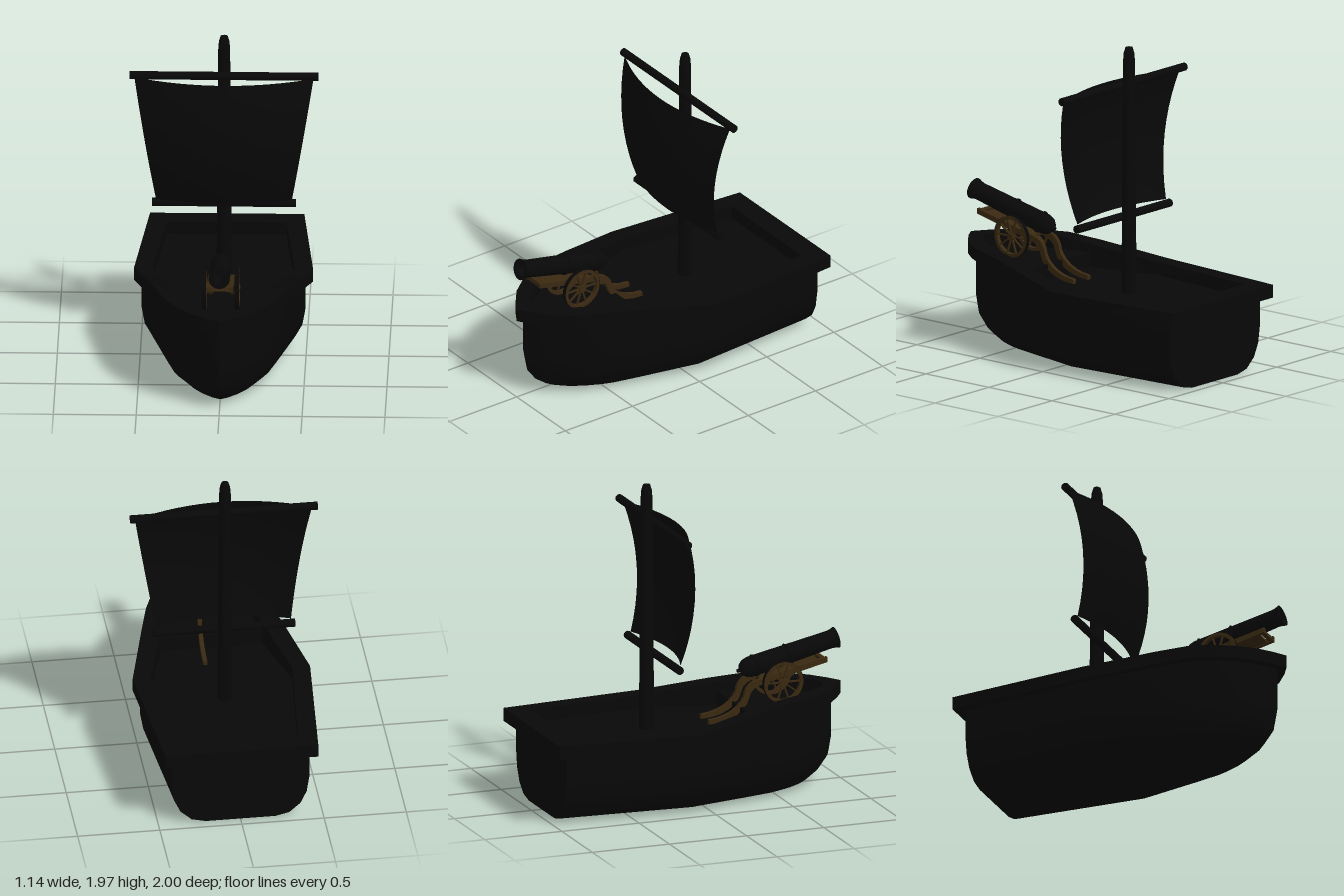
import * as THREE from 'three';
import { toCreasedNormals } from 'three/addons/utils/BufferGeometryUtils.js';

export function createModel() {
  const black = new THREE.MeshStandardMaterial({ color: 0x080808, side: THREE.DoubleSide });
  black.name = 'tarred black';
  const wood = new THREE.MeshStandardMaterial({ color: 0x3a2911 });
  wood.name = 'dark brown wood';

  const model = new THREE.Group();
  model.name = 'cannonBoat';
  const add = (name, geo, mat, pos = [0, 0, 0], rot = [0, 0, 0], parent = model) => {
    const mesh = new THREE.Mesh(geo, mat);
    mesh.name = name;
    mesh.position.set(...pos);
    mesh.rotation.set(...rot);
    parent.add(mesh);
    return mesh;
  };

  // Half outlines [x, z] from stern to bow
  const hullLine = [[.42, -.935], [.495, -.1], [.385, .319], [.385, .32], [.325, .54], [.29, .62], [.225, .735], [.15, .83], [.065, .905], [0, .94]];
  const rimLine = [[.465, -1], [.54, -.1], [.43, .319], [.43, .32], [.37, .54], [.33, .65], [.26, .77], [.18, .87], [.08, .95], [0, 1]];
  const innerLine = [[.36, -.86], [.43, -.1], [.31, .319], [.31, .32], [.26, .54], [.23, .62], [.18, .71], [.12, .8], [.06, .86], [0, .89]];
  const rimTop = z => .52 + .09 * THREE.MathUtils.clamp((z + .1) / .6, 0, 1);
  const rimBottom = z => rimTop(z) - .08;
  const deckY = z => (z >= .32 ? .53 : .44);

  // Mirrors a half outline into a closed ring, with a height rule
  const ring = (line, yOf) => {
    const half = line.map(([x, z]) => [x, yOf(z), z]);
    return half.concat(half.slice(0, -1).reverse().map(([x, y, z]) => [-x, y, z]));
  };
  const loft = (rings, capStart, capEnd) => {
    const m = rings[0].length, index = [];
    for (let r = 0; r < rings.length - 1; r++) {
      for (let i = 0; i < m; i++) {
        const a = r * m + i, b = r * m + (i + 1) % m;
        index.push(a, a + m, b, b, a + m, b + m);
      }
    }
    const cap = (base, up) => {
      for (let i = 0; i < (m - 1) / 2; i++) {
        const R = base + i, L = base + m - 1 - i;
        const tris = [[R, R + 1, L]];
        if (R + 1 !== L - 1) tris.push([R + 1, L - 1, L]);
        tris.forEach(([p, q, s]) => (up ? index.push(p, s, q) : index.push(p, q, s)));
      }
    };
    if (capStart) cap(0, false);
    if (capEnd) cap((rings.length - 1) * m, true);
    const geo = new THREE.BufferGeometry();
    geo.setAttribute('position', new THREE.Float32BufferAttribute(rings.flat(2), 3));
    geo.setIndex(index);
    return toCreasedNormals(geo, .6);
  };

  // Hull: rounded bilge [height, side inset, bow inset]
  const bilge = [[0, .245, .27], [.02, .145, .16], [.08, .065, .08], [.16, .02, .02], [.27, 0, 0]];
  const hullRings = bilge.map(([y, dx, dz]) =>
    ring(hullLine.map(([x, z]) => [x * (1 - dx / .495), z > 0 ? z * (1 - dz / .94) : z]), () => y));
  hullRings.push(ring(hullLine, rimBottom));
  add('hull', loft(hullRings, true, false), black);

  // Raised rim and stepped deck inside it
  add('rim', loft([ring(hullLine, rimBottom), ring(rimLine, rimBottom), ring(rimLine, rimTop),
    ring(innerLine, rimTop), ring(innerLine, deckY)], false, false), black);
  add('deck', loft([ring(innerLine, deckY)], false, true), black);

  // Mast and yards
  const mastProfile = [[0, .43], [.046, .43], [.036, 1.88], [.032, 1.93], [.022, 1.965], [0, 1.97]];
  const lathe = (pts, n) => toCreasedNormals(new THREE.LatheGeometry(pts.map(p => new THREE.Vector2(...p)), n), .6);
  add('mast', lathe(mastProfile, 16), black, [0, 0, -.255]);
  [['upperYard', 1.725, .57], ['lowerYard', .905, .433]].forEach(([name, y, half]) =>
    add(name, new THREE.CylinderGeometry(.025, .025, half * 2, 12), black, [0, y, -.208], [0, 0, Math.PI / 2]));

  // Billowing sail
  const sail = new THREE.PlaneGeometry(2, 1, 16, 10);
  const p = sail.attributes.position;
  for (let i = 0; i < p.count; i++) {
    const u = p.getX(i), v = p.getY(i) + .5, belly = 4 * v * (1 - v);
    const edge = -.197 + .065 * belly;
    const middle = -.12 + .05 * v + .075 * belly;
    p.setXYZ(i, u * (.41 + .13 * v), .93 + .785 * v, edge + (middle - edge) * (1 - u * u));
  }
  sail.computeVertexNormals();
  add('sail', sail, black);

  // Cannon barrel, tilted up towards the bow
  const cannon = new THREE.Group();
  cannon.name = 'cannon';
  model.add(cannon);
  const barrel = new THREE.Group();
  barrel.name = 'barrel';
  barrel.position.set(0, .75, .4);
  barrel.rotation.x = Math.PI / 2 - .225;
  cannon.add(barrel);
  add('barrelBody', lathe([[0, -.075], [.012, -.07], [.012, -.052], [.035, -.045], [.055, -.02], [.063, .015],
    [.063, .06], [.055, .54], [.058, .565], [.066, .588], [.04, .588], [.036, .57], [.036, .35], [0, .35]], 20),
  black, [0, 0, 0], [0, 0, 0], barrel);
  [[.045, .063], [.26, .06]].forEach(([t, r]) =>
    add('barrelBand', new THREE.TorusGeometry(r, .007, 6, 20), black, [0, t, 0], [Math.PI / 2, 0, 0], barrel));

  // Carriage: two curved trail rails in side profile (z, y)
  const rail = new THREE.Shape();
  rail.moveTo(.885, .787);
  rail.lineTo(.44, .69);
  rail.bezierCurveTo(.38, .68, .35, .64, .345, .59);
  rail.bezierCurveTo(.32, .53, .24, .475, .12, .47);
  rail.lineTo(.12, .442);
  rail.bezierCurveTo(.27, .445, .36, .5, .382, .59);
  rail.bezierCurveTo(.39, .63, .42, .645, .47, .66);
  rail.lineTo(.885, .755);
  const railGeo = new THREE.ExtrudeGeometry(rail, { depth: .025, bevelEnabled: false, curveSegments: 6 });
  railGeo.rotateY(-Math.PI / 2).translate(.0125, 0, 0);
  add('carriageBed', new THREE.BoxGeometry(.11, .015, .38), wood, [0, .716, .66], [-.222, 0, 0], cannon);
  add('frontCrossbar', new THREE.BoxGeometry(.14, .025, .025), wood, [0, .768, .868], [-.222, 0, 0], cannon);
  add('axle', new THREE.CylinderGeometry(.014, .014, .23, 10), black, [0, .665, .59], [0, 0, Math.PI / 2], cannon);

  // Spoked wheels with dark tyres
  const felloe = new THREE.Shape().absarc(0, 0, .127, 0, Math.PI * 2);
  felloe.holes.push(new THREE.Path().absarc(0, 0, .107, 0, Math.PI * 2, true));
  const felloeGeo = new THREE.ExtrudeGeometry(felloe, { depth: .026, bevelEnabled: false, curveSegments: 24 });
  felloeGeo.translate(0, 0, -.013);
  const tyreGeo = new THREE.CylinderGeometry(.129, .129, .028, 24, 1, true).rotateX(Math.PI / 2);
  const hubGeo = new THREE.CylinderGeometry(.022, .022, .034, 12).rotateX(Math.PI / 2);
  const spokeGeo = new THREE.BoxGeometry(.22, .009, .012);
  for (const s of [1, -1]) {
    const side = s > 0 ? 'left' : 'right';
    add(side + 'Rail', railGeo, wood, [s * .067, 0, 0], [0, 0, 0], cannon);
    const wheel = new THREE.Group();
    wheel.name = side + 'Wheel';
    wheel.position.set(s * .1, .665, .59);
    wheel.rotation.y = Math.PI / 2;
    cannon.add(wheel);
    add('felloe', felloeGeo, wood, [0, 0, 0], [0, 0, 0], wheel);
    add('tyre', tyreGeo, black, [0, 0, 0], [0, 0, 0], wheel);
    add('hub', hubGeo, wood, [0, 0, 0], [0, 0, 0], wheel);
    for (let k = 0; k < 5; k++) add('spoke', spokeGeo, wood, [0, 0, 0], [0, 0, k * Math.PI / 5], wheel);
  }
  return model;
}
